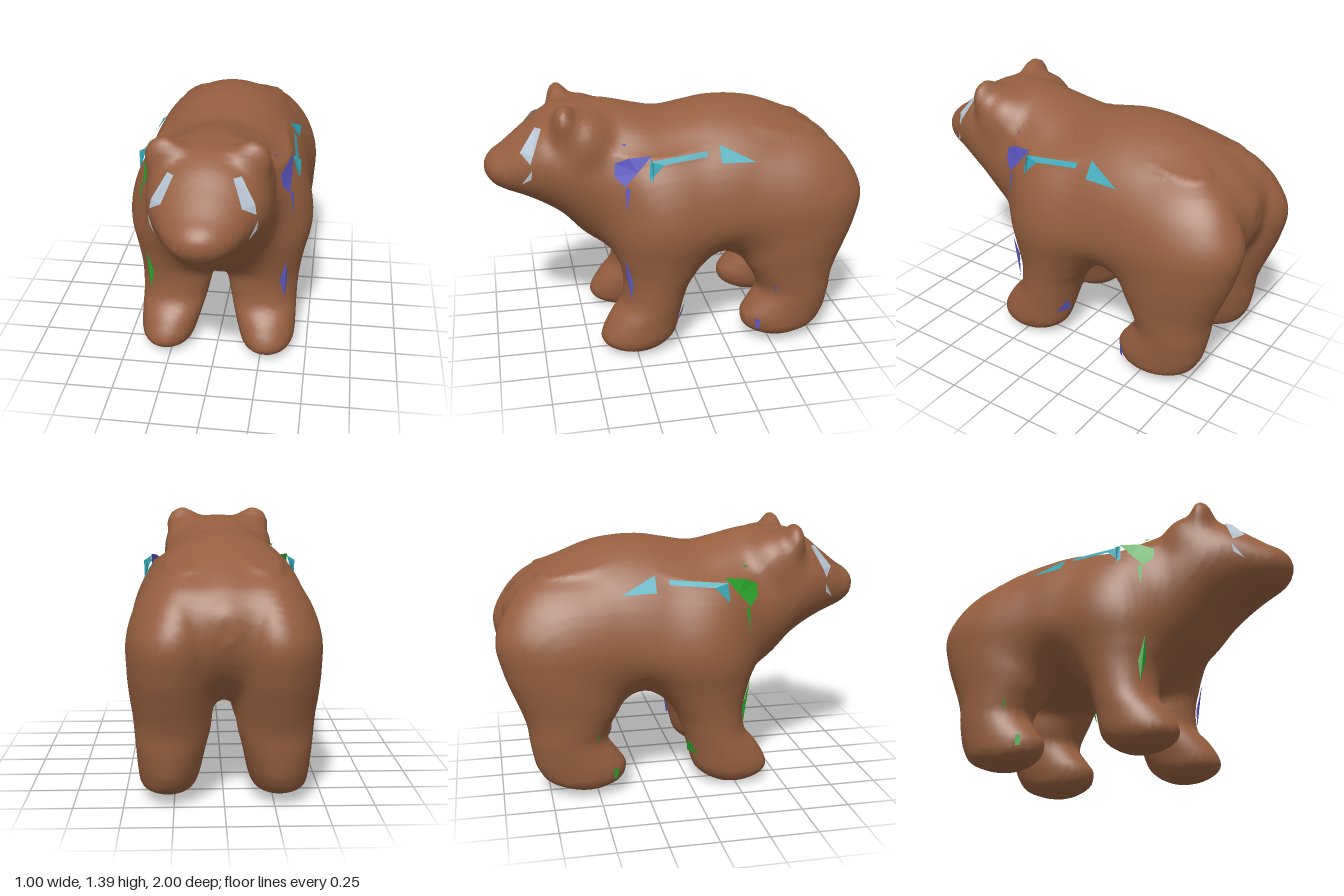
import * as THREE from 'three';

const mat = (name, color, side = THREE.FrontSide) => {
  const m = new THREE.MeshStandardMaterial({ color, side });
  m.name = name;
  return m;
};

// Smooth interpolation of section rows [t, four values], sorted by t
function section(rows, t) {
  const n = rows.length;
  t = Math.min(Math.max(t, rows[0][0]), rows[n - 1][0]);
  let i = 0;
  while (i < n - 2 && t > rows[i + 1][0]) i++;
  const p = rows[i], q = rows[i + 1], o = rows[Math.max(i - 1, 0)], r = rows[Math.min(i + 2, n - 1)];
  const h = q[0] - p[0], s = (t - p[0]) / h, s2 = s * s, s3 = s2 * s;
  return [1, 2, 3, 4].map((k) => {
    const m0 = (q[k] - o[k]) / (q[0] - o[0]) * h, m1 = (r[k] - p[k]) / (r[0] - p[0]) * h;
    return (2 * s3 - 3 * s2 + 1) * p[k] + (s3 - 2 * s2 + s) * m0 + (3 * s2 - 2 * s3) * q[k] + (s3 - s2) * m1;
  });
}

const capped = (rows, t, d) => Math.max(d, rows[0][0] - t, t - rows[rows.length - 1][0]);

const blend = (a, b, k) => {
  const h = Math.max(k - Math.abs(a - b), 0) / k;
  return Math.min(a, b) - h * h * k / 4;
};

// Torso, neck and head: z, bottom, top, height of widest point, half-width
const TORSO = [
  [-0.95, 0.85, 0.99, 0.92, 0.05], [-0.92, 0.77, 1.04, 0.89, 0.13], [-0.85, 0.67, 1.12, 0.84, 0.27],
  [-0.7, 0.56, 1.215, 0.81, 0.39], [-0.5, 0.5, 1.3, 0.81, 0.445], [-0.35, 0.478, 1.328, 0.8, 0.462],
  [-0.2, 0.488, 1.33, 0.775, 0.47], [-0.08, 0.462, 1.31, 0.77, 0.467], [0.07, 0.442, 1.288, 0.78, 0.455],
  [0.2, 0.455, 1.312, 0.8, 0.42], [0.3, 0.5, 1.338, 0.85, 0.37], [0.4, 0.555, 1.355, 0.93, 0.335],
  [0.5, 0.63, 1.352, 1.0, 0.32], [0.6, 0.74, 1.345, 1.04, 0.308], [0.7, 0.81, 1.3, 1.06, 0.278],
  [0.8, 0.86, 1.22, 1.05, 0.227], [0.9, 0.9, 1.14, 1.02, 0.166], [0.96, 0.935, 1.1, 1.02, 0.115],
  [0.99, 0.975, 1.065, 1.02, 0.06], [1.0, 1.0, 1.04, 1.02, 0.03],
];

// Egg-shaped sections along z
function torso(x, y, z) {
  const [lo, hi, mid, w] = section(TORSO, z);
  const r = Math.hypot((y - mid) / Math.max(y > mid ? hi - mid : mid - lo, 0.01), x / Math.max(w, 0.01));
  return capped(TORSO, z, (r - 1) * Math.min((hi - lo) / 2, w));
}

// Legs: y, back z, front z, inner x, outer x
const FRONT_LEG = [
  [0, 0.18, 0.31, 0.23, 0.33], [0.015, 0.135, 0.36, 0.19, 0.37], [0.05, 0.075, 0.422, 0.148, 0.412],
  [0.1, 0.03, 0.437, 0.125, 0.43], [0.2, 0, 0.385, 0.093, 0.432], [0.28, -0.02, 0.322, 0.07, 0.432],
  [0.38, -0.055, 0.307, 0.05, 0.436], [0.47, -0.11, 0.315, 0.048, 0.447], [0.55, -0.15, 0.333, 0.048, 0.462],
  [0.7, -0.17, 0.345, 0.05, 0.485], [0.85, -0.15, 0.31, 0.08, 0.468], [1.0, -0.09, 0.285, 0.14, 0.41],
  [1.1, -0.02, 0.25, 0.2, 0.35],
];
const BACK_LEG = [
  [0.025, -0.62, -0.49, 0.23, 0.34], [0.04, -0.68, -0.43, 0.185, 0.375], [0.08, -0.765, -0.365, 0.145, 0.418],
  [0.15, -0.815, -0.345, 0.12, 0.432], [0.2, -0.832, -0.375, 0.11, 0.435], [0.3, -0.85, -0.44, 0.09, 0.44],
  [0.38, -0.86, -0.415, 0.07, 0.447], [0.46, -0.885, -0.368, 0.06, 0.455], [0.55, -0.92, -0.335, 0.05, 0.468],
  [0.68, -0.968, -0.32, 0.04, 0.478], [0.85, -1.0, -0.32, 0.035, 0.472], [1.0, -0.94, -0.36, 0.045, 0.415],
  [1.1, -0.85, -0.44, 0.1, 0.335], [1.16, -0.74, -0.53, 0.16, 0.26],
];

// Elliptical sections along y
function leg(rows, x, y, z) {
  const [z0, z1, x0, x1] = section(rows, y);
  const rz = (z1 - z0) / 2, rx = (x1 - x0) / 2;
  const r = Math.hypot((z - (z0 + z1) / 2) / rz, (x - (x0 + x1) / 2) / rx);
  return capped(rows, y, (r - 1) * Math.min(rz, rx));
}

const ball = (x, y, z, rx, ry, rz) => (Math.hypot(x / rx, y / ry, z / rz) - 1) * Math.min(rx, ry, rz);

// Whole animal as one softly blended skin
function skin(x, y, z) {
  const ax = Math.sqrt(x * x + 0.0004);
  let f = torso(x, y, z);
  f = blend(f, leg(FRONT_LEG, ax, y, z), 0.11);
  f = blend(f, leg(BACK_LEG, ax, y, z), 0.1);
  f = blend(f, ball(ax - 0.175, y - 1.18, z - 0.49, 0.138, 0.155, 0.14), 0.06); // skull corners
  return blend(f, ball(ax - 0.213, y - 1.3, z - 0.588, 0.09, 0.09, 0.053), 0.06); // ears
}

function gradient(p) {
  const e = 0.004, [x, y, z] = p;
  return new THREE.Vector3(
    skin(x + e, y, z) - skin(x - e, y, z),
    skin(x, y + e, z) - skin(x, y - e, z),
    skin(x, y, z + e) - skin(x, y, z - e),
  ).divideScalar(2 * e);
}

// Move a point to the given height above the skin
function snap(p, lift) {
  const v = new THREE.Vector3(...p);
  for (let i = 0; i < 5; i++) {
    const g = gradient(v.toArray());
    const step = (lift - skin(v.x, v.y, v.z)) / Math.max(g.lengthSq(), 0.1);
    v.addScaledVector(g, THREE.MathUtils.clamp(step, -0.03, 0.03));
  }
  return v.toArray();
}

// Surface of the skin field: one vertex per crossed cell, one quad per crossed edge
function skinGeometry() {
  const s = 0.025, N = [49, 63, 88], O = [-0.6, -0.0625, -1.0875];
  const stride = [1, N[0], N[0] * N[1]];
  const f = new Float32Array(N[0] * N[1] * N[2]);
  const each = (fn) => {
    for (let k = 0; k < N[2]; k++) for (let j = 0; j < N[1]; j++) for (let i = 0; i < N[0]; i++)
      fn([i, j, k], i + j * stride[1] + k * stride[2]);
  };
  each((c, id) => { f[id] = skin(O[0] + c[0] * s, O[1] + c[1] * s, O[2] + c[2] * s); });
  const pos = [], index = [], vert = new Int32Array(f.length).fill(-1);
  each((c, id) => {
    if (c.some((v, a) => v >= N[a] - 1)) return;
    const sum = [0, 0, 0];
    let count = 0;
    for (let m = 0; m < 8; m++) for (let a = 0; a < 3; a++) {
      if (m & (1 << a)) continue;
      const bits = [m & 1, (m >> 1) & 1, (m >> 2) & 1];
      const p = id + bits[0] + bits[1] * stride[1] + bits[2] * stride[2];
      const u = f[p], v = f[p + stride[a]];
      if ((u < 0) === (v < 0)) continue;
      bits[a] = u / (u - v);
      bits.forEach((b, d) => { sum[d] += b; });
      count++;
    }
    if (!count) return;
    vert[id] = pos.length / 3;
    pos.push(...snap(sum.map((v, d) => O[d] + (c[d] + v / count) * s), 0));
  });
  each((c, id) => {
    for (let a = 0; a < 3; a++) {
      const b = (a + 1) % 3, d = (a + 2) % 3;
      if (c[a] >= N[a] - 1 || !c[b] || !c[d]) continue;
      const inside = f[id] < 0;
      if (inside === (f[id + stride[a]] < 0)) continue;
      const q = [id - stride[b] - stride[d], id - stride[d], id, id - stride[b]].map((n) => vert[n]);
      if (!inside) q.reverse();
      index.push(q[0], q[1], q[2], q[0], q[2], q[3]);
    }
  });
  const g = new THREE.BufferGeometry();
  g.setAttribute('position', new THREE.Float32BufferAttribute(pos, 3));
  g.setIndex(index);
  g.computeVertexNormals();
  return g;
}

// Thin faceted patch fanned from its first corner; corners under the skin are lifted out
function patch(name, points, material, side) {
  const p = points.map(([x, y, z]) => (skin(x, y, z) < 0.012 ? snap([x * side, y, z], 0.012) : [x * side, y, z]));
  const pos = [];
  for (let i = 1; i < p.length - 1; i++) {
    const tri = side > 0 ? [p[0], p[i], p[i + 1]] : [p[0], p[i + 1], p[i]];
    pos.push(...tri.flat());
  }
  const g = new THREE.BufferGeometry();
  g.setAttribute('position', new THREE.Float32BufferAttribute(pos, 3));
  g.computeVertexNormals();
  const mesh = new THREE.Mesh(g, material);
  mesh.name = name;
  return mesh;
}

const EYES = {
  Eye: [[0.238, 1.14, 0.745], [0.175, 1.262, 0.7], [0.14, 1.262, 0.73], [0.187, 1.145, 0.81], [0.25, 1.1, 0.765]],
  Cheek: [[0.205, 0.995, 0.805], [0.25, 1.07, 0.755], [0.248, 1.025, 0.76]],
};
const MARKS = {
  Shoulder: [[0.385, 1.07, 0.24], [0.36, 0.99, 0.295], [0.335, 1.04, 0.35], [0.335, 1.11, 0.35], [0.36, 1.14, 0.28], [0.385, 1.155, 0.17]],
  Spear: [[0.36, 0.99, 0.29], [0.38, 0.98, 0.27], [0.375, 0.86, 0.28]],
  Shin: [[0.36, 0.6, 0.29], [0.365, 0.45, 0.255], [0.355, 0.34, 0.26], [0.335, 0.47, 0.285]],
  NeckFleck: [[0.3, 1.2, 0.31], [0.31, 1.2, 0.285], [0.31, 1.185, 0.295]],
  FrontPawFleck: [[0.37, 0.19, 0.04], [0.32, 0.27, 0], [0.29, 0.19, 0]],
  ThighFleck: [[0.4, 0.39, -0.505], [0.41, 0.335, -0.515], [0.4, 0.335, -0.505]],
  BackPawFleck: [[0.385, 0.16, -0.405], [0.395, 0.16, -0.43], [0.395, 0.105, -0.43], [0.385, 0.105, -0.41]],
};
const STRIPES = {
  SideStripe: [[0.41, 1.11, 0.11], [0.415, 1.03, 0.185], [0.4, 1.13, 0.18], [0.37, 1.155, -0.12], [0.385, 1.13, -0.12]],
  StripeFin: [[0.385, 1.145, 0.175], [0.4, 1.04, 0.185], [0.425, 1.03, 0.17], [0.427, 1.12, 0.165]],
  BackStripe: [[0.33, 1.165, -0.19], [0.4, 1.095, -0.19], [0.4, 1.09, -0.37]],
};

export function createModel() {
  const model = new THREE.Group();
  model.name = 'bear';
  const body = new THREE.Mesh(skinGeometry(), mat('brown fur', 0x965f3f));
  body.name = 'body';
  model.add(body);

  const grey = mat('pale grey', 0xb6c4d2, THREE.DoubleSide);
  const indigo = mat('indigo', 0x5c58c4, THREE.DoubleSide);
  const green = mat('green', 0x2ba52b, THREE.DoubleSide);
  const teal = mat('teal', 0x33a5b5, THREE.DoubleSide);
  for (const side of [1, -1]) {
    const label = side > 0 ? 'left' : 'right';
    const sets = [[EYES, grey], [MARKS, side > 0 ? indigo : green], [STRIPES, teal]];
    for (const [set, material] of sets)
      for (const [name, points] of Object.entries(set)) model.add(patch(label + name, points, material, side));
  }
  return model;
}
